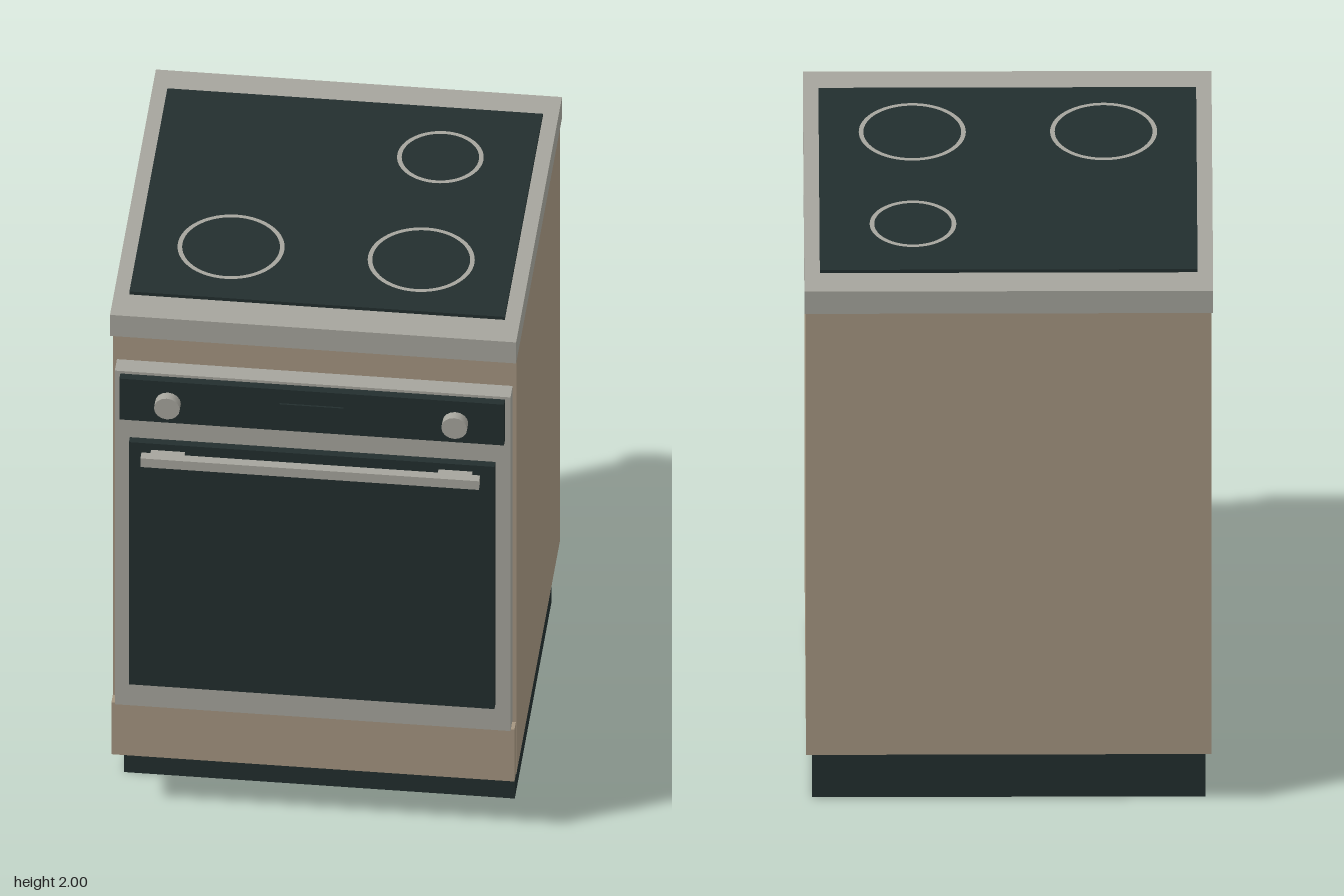
import * as THREE from 'three';

const mat = (name, color) => {
  const m = new THREE.MeshStandardMaterial({ color });
  m.name = name;
  return m;
};

export function createModel() {
  const beige = mat('beige cabinet', 0xa49580);
  const steel = mat('brushed steel', 0xa5a49c);
  const dark = mat('dark glass', 0x222e2e);
  const group = new THREE.Group();

  const add = (name, geometry, material) => {
    const mesh = new THREE.Mesh(geometry, material);
    mesh.name = name;
    group.add(mesh);
    return mesh;
  };
  // Box given by its extents along each axis
  const box = (name, material, [x0, x1], [y0, y1], [z0, z1]) => {
    const mesh = add(name, new THREE.BoxGeometry(x1 - x0, y1 - y0, z1 - z0), material);
    mesh.position.set((x0 + x1) / 2, (y0 + y1) / 2, (z0 + z1) / 2);
    return mesh;
  };
  const wide = (half) => [-half, half];

  // Cabinet, recessed plinth and worktop
  box('plinth', dark, wide(0.635), [0, 0.2], [-0.635, 0.427]);
  box('cabinet', beige, wide(0.655), [0.2, 1.9], [-0.695, 0.56]);
  box('worktop', steel, wide(0.66), [1.9, 1.985], [-0.714, 0.61]);
  box('hob', dark, wide(0.61), [1.985, 1.997], [-0.602, 0.494]);

  // Cooking zone rings: x, z, outer radius
  for (const [x, z, r] of [[-0.31, 0.223, 0.173], [0.308, 0.223, 0.173], [0.308, -0.33, 0.14]]) {
    const ring = add('cookingZone', new THREE.RingGeometry(r - 0.015, r, 64), steel);
    ring.rotation.x = -Math.PI / 2;
    ring.position.set(x, 2, z);
  }

  // Front: oven frame, door glass, control panel and drawer
  box('drawerFront', beige, wide(0.655), [0.21, 0.42], [0.572, 0.613]);
  box('ovenFrame', steel, wide(0.643), [0.42, 1.77], [0.56, 0.622]);
  box('ovenDoor', dark, wide(0.594), [0.525, 1.505], [0.622, 0.649]);
  box('controlPanel', dark, wide(0.625), [1.595, 1.76], [0.622, 0.65]);
  box('display', dark, wide(0.104), [1.645, 1.705], [0.65, 0.656]);

  // Handle bar
  box('handleBar', steel, wide(0.55), [1.453, 1.488], [0.677, 0.709]);

  // Knobs and handle brackets on both sides
  for (const s of [-1, 1]) {
    const x = s * 0.467;
    box('handleBracket', steel, [x - 0.055, x + 0.055], [1.461, 1.48], [0.649, 0.677]);
    const knob = add('knob', new THREE.CylinderGeometry(0.042, 0.042, 0.033, 16), steel);
    knob.rotation.x = Math.PI / 2;
    knob.position.set(x, 1.675, 0.6665);
  }
  return group;
}
